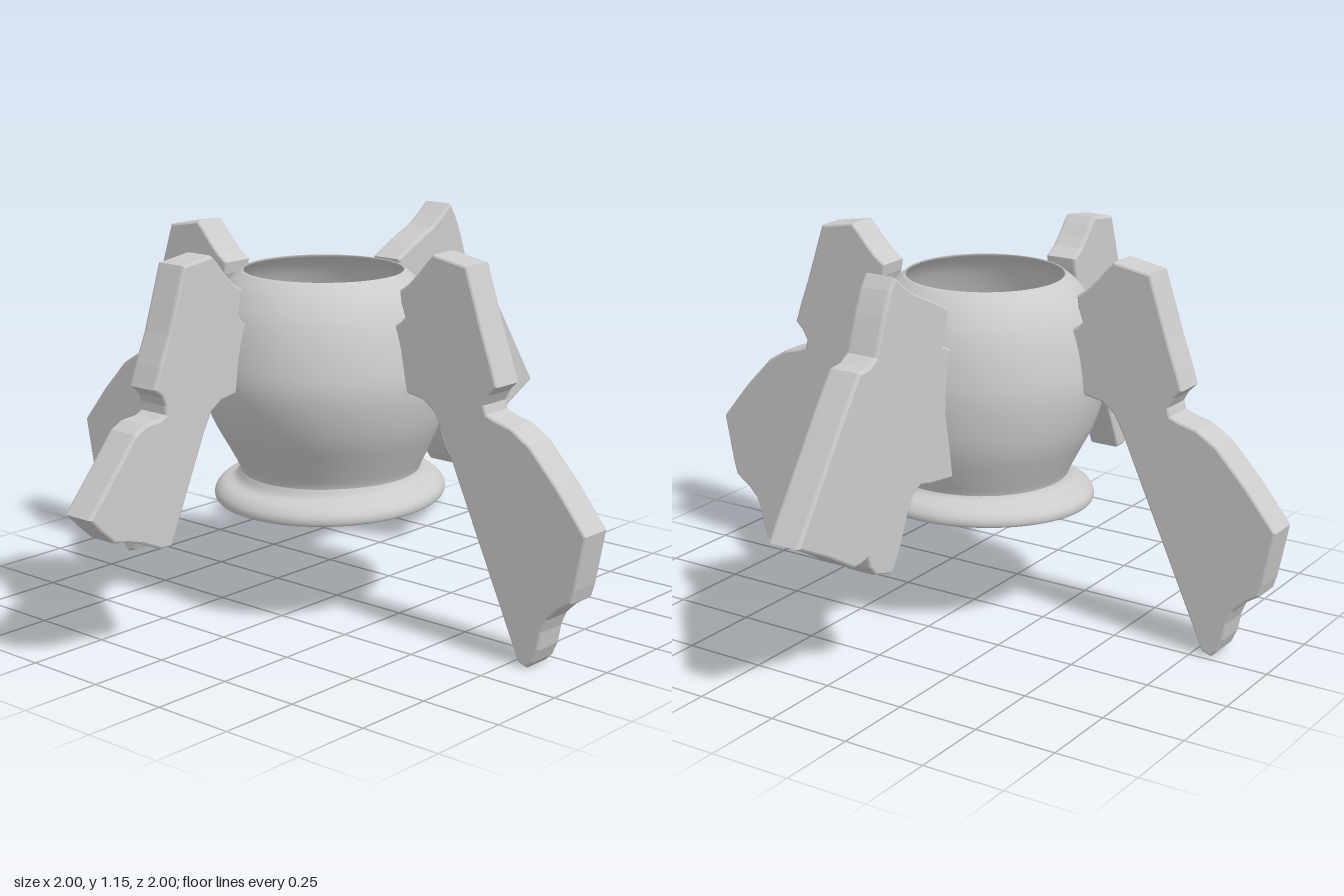
import * as THREE from 'three';

const material = new THREE.MeshStandardMaterial({ color: 0xcccccc, side: THREE.DoubleSide });
const vec = ([x, y]) => new THREE.Vector2(x, y);

// Flat plate with softened edges, centred on its own thickness
function plate(name, outline) {
  const geometry = new THREE.ExtrudeGeometry(new THREE.Shape(outline.map(vec)), {
    depth: 0.084, bevelThickness: 0.01, bevelSize: 0.007, bevelOffset: -0.007, bevelSegments: 2,
  });
  geometry.translate(0, 0, -0.042);
  const mesh = new THREE.Mesh(geometry, material);
  mesh.name = name;
  return mesh;
}

function lathe(name, points) {
  const mesh = new THREE.Mesh(new THREE.LatheGeometry(points, 64), material);
  mesh.name = name;
  return mesh;
}

// Front and back legs share one outline: distance from the axis, height
const LEG = [
  [0.578, 1.11], [0.46, 1.13], [0.44, 1.11], [0.405, 1.07], [0.375, 1.04], [0.34, 1.015],
  [0.345, 0.98], [0.36, 0.94], [0.345, 0.925], [0.32, 0.91], [0.345, 0.82], [0.37, 0.72],
  [0.43, 0.71], [0.47, 0.68], [0.5, 0.625], [0.78, 0.01], [0.81, 0], [0.83, 0.02],
  [0.848, 0.06], [0.858, 0.115], [0.875, 0.155], [0.91, 0.19], [0.955, 0.22], [0.967, 0.26],
  [0.998, 0.42], [0.9, 0.54], [0.805, 0.64], [0.74, 0.68], [0.68, 0.695], [0.655, 0.705],
  [0.648, 0.73], [0.665, 0.76], [0.69, 0.785], [0.67, 0.845], [0.64, 0.925],
];
const RIGHT_FIN = [
  [-0.63, 1.11], [-0.52, 1.125], [-0.5, 1.105], [-0.47, 1.07], [-0.44, 1.04], [-0.4, 1.015],
  [-0.405, 0.98], [-0.415, 0.94], [-0.4, 0.92], [-0.38, 0.905], [-0.405, 0.82], [-0.43, 0.715],
  [-0.49, 0.705], [-0.53, 0.68], [-0.56, 0.625], [-0.695, 0.322], [-0.735, 0.322],
  [-0.81, 0.355], [-0.86, 0.37], [-0.91, 0.38], [-0.95, 0.415], [-1, 0.465],
  [-0.9, 0.58], [-0.825, 0.67], [-0.785, 0.69], [-0.73, 0.695], [-0.71, 0.705],
  [-0.71, 0.73], [-0.72, 0.755], [-0.75, 0.78], [-0.725, 0.845], [-0.69, 0.925],
];
const LEFT_FIN = [
  [0.29, 1.01], [0.365, 1.05], [0.455, 1.09], [0.5, 1.12], [0.545, 1.155], [0.57, 1.12],
  [0.6, 1.055], [0.62, 1.0], [0.637, 0.95], [0.67, 0.93], [0.715, 0.925], [0.79, 0.82],
  [0.997, 0.512], [0.865, 0.445], [0.755, 0.38], [0.72, 0.38], [0.69, 0.388], [0.68, 0.355],
  [0.655, 0.325], [0.58, 0.303], [0.555, 0.335], [0.53, 0.38], [0.495, 0.465], [0.46, 0.515],
  [0.43, 0.525], [0.395, 0.515], [0.27, 0.5], [0.285, 0.6], [0.305, 0.7], [0.3, 0.8],
  [0.28, 0.89], [0.32, 0.91], [0.305, 0.955],
];

export function createModel() {
  const model = new THREE.Group();
  model.name = 'footedPot';

  // Bulging open shell: outer wall up, over the thin rim, inner wall down
  const outer = new THREE.SplineCurve([
    [0.27, 0.4], [0.272, 0.43], [0.3, 0.49], [0.345, 0.59], [0.37, 0.715],
    [0.36, 0.82], [0.33, 0.92], [0.285, 0.99], [0.24, 1.03],
  ].map(vec)).getPoints(32);
  const inner = new THREE.SplineCurve([
    [0.235, 1.028], [0.29, 0.97], [0.345, 0.82], [0.35, 0.7], [0.3, 0.55], [0.215, 0.44],
  ].map(vec)).getPoints(24);
  const body = lathe('body', [...outer, ...inner]);
  // The axis drifts sideways toward the neck
  const position = body.geometry.attributes.position;
  for (let i = 0; i < position.count; i++) {
    const t = THREE.MathUtils.smoothstep(0.75 - position.getY(i), 0, 0.33);
    position.setX(i, position.getX(i) - 0.06 + 0.028 * t);
  }
  body.geometry.computeVertexNormals();
  model.add(body);

  // Flared base ring with a funnel underside, slightly tilted
  const base = lathe('baseRing', new THREE.SplineCurve([
    [0.215, 0.1], [0.222, 0.07], [0.255, 0.03], [0.305, -0.005], [0.33, -0.014], [0.346, -0.01],
    [0.346, 0.012], [0.325, 0.035], [0.285, 0.05], [0.268, 0.075],
  ].map(vec)).getPoints(45));
  base.position.set(-0.033, 0.357, 0);
  base.rotation.z = 0.044;
  model.add(base);

  // Long legs at front and back
  for (const [name, side] of [['frontLeg', 1], ['backLeg', -1]]) {
    const leg = plate(name, LEG);
    leg.position.x = -0.07;
    leg.rotation.y = -side * Math.PI / 2;
    model.add(leg);
  }

  // Unequal fins on the two sides
  for (const [name, outline] of [['rightFin', RIGHT_FIN], ['leftFin', LEFT_FIN]]) {
    const fin = plate(name, outline);
    fin.position.z = -0.055;
    model.add(fin);
  }
  return model;
}
